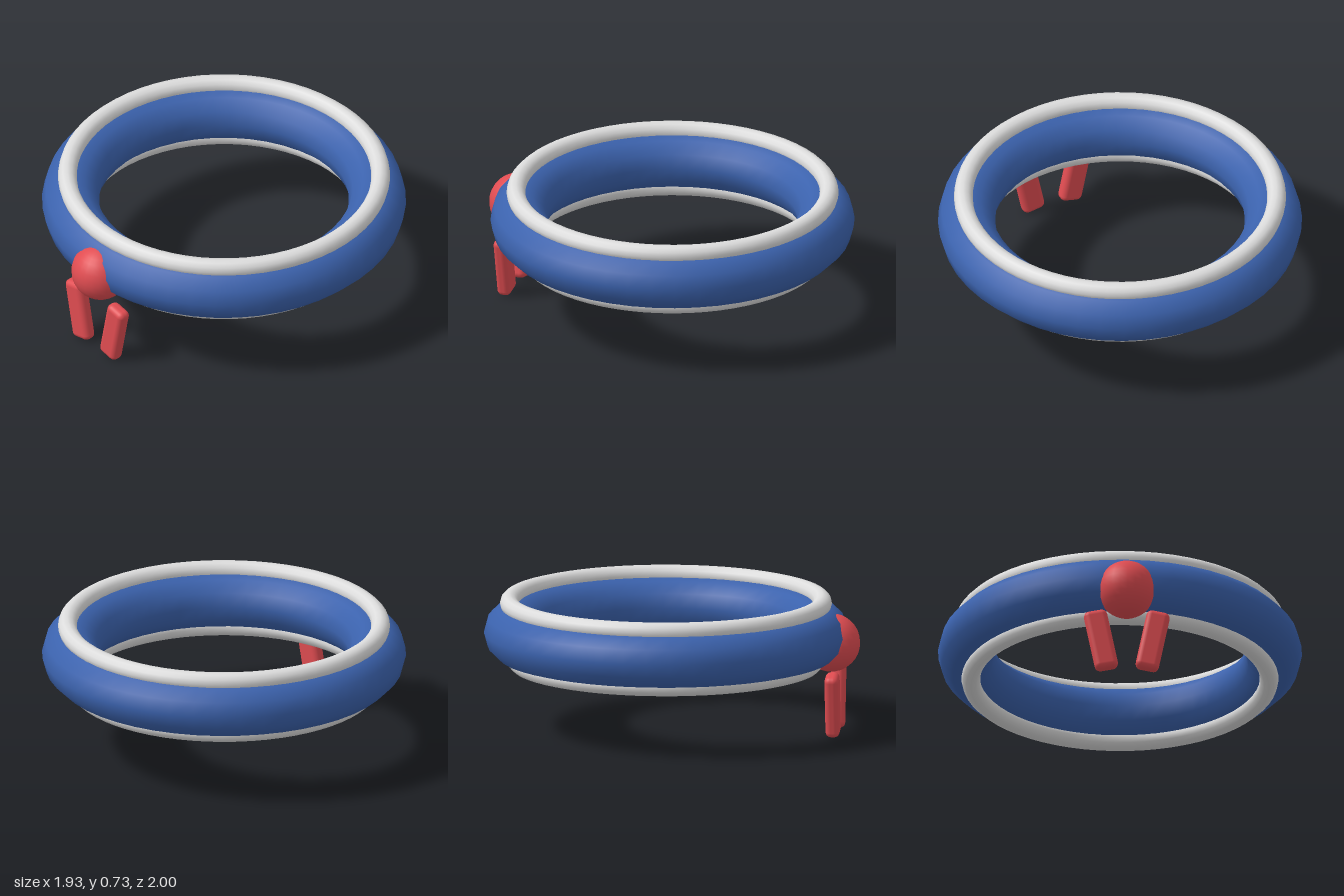
import * as THREE from 'three';
import { RoundedBoxGeometry } from 'three/addons/geometries/RoundedBoxGeometry.js';

export function createModel() {
  const model = new THREE.Group();
  model.name = 'ringModel';

  const material = (name, color) => {
    const m = new THREE.MeshStandardMaterial({ color });
    m.name = name;
    return m;
  };
  const blue = material('blue', 0x3b62ad);
  const white = material('white', 0xdcdcdc);
  const red = material('red', 0xe04c51);

  const add = (name, geometry, mat, x, y, z) => {
    const mesh = new THREE.Mesh(geometry, mat);
    mesh.name = name;
    mesh.position.set(x, y, z);
    model.add(mesh);
    return mesh;
  };

  // Horizontal rings, all sharing one axis
  const ring = (name, radius, tube, sides, steps, mat, y) =>
    add(name, new THREE.TorusGeometry(radius, tube, sides, steps).rotateX(Math.PI / 2), mat, 0, y, -0.035);
  ring('mainRing', 0.813, 0.152, 12, 48, blue, 0.53);
  ring('topTrim', 0.83, 0.05, 12, 64, white, 0.685);
  ring('bottomTrim', 0.79, 0.05, 12, 64, white, 0.38);

  // Ball set into the front of the ring
  add('frontBall', new THREE.SphereGeometry(0.155, 24, 16), red, 0, 0.49, 0.845);

  // Two flat rounded legs, leaning inward towards the bottom
  for (const side of [-1, 1]) {
    const leg = add(side > 0 ? 'leftLeg' : 'rightLeg',
      new RoundedBoxGeometry(0.125, 0.342, 0.075, 3, 0.03), red, side * 0.137, 0.18, 0.868);
    leg.rotation.z = -side * 0.2;
  }
  return model;
}
